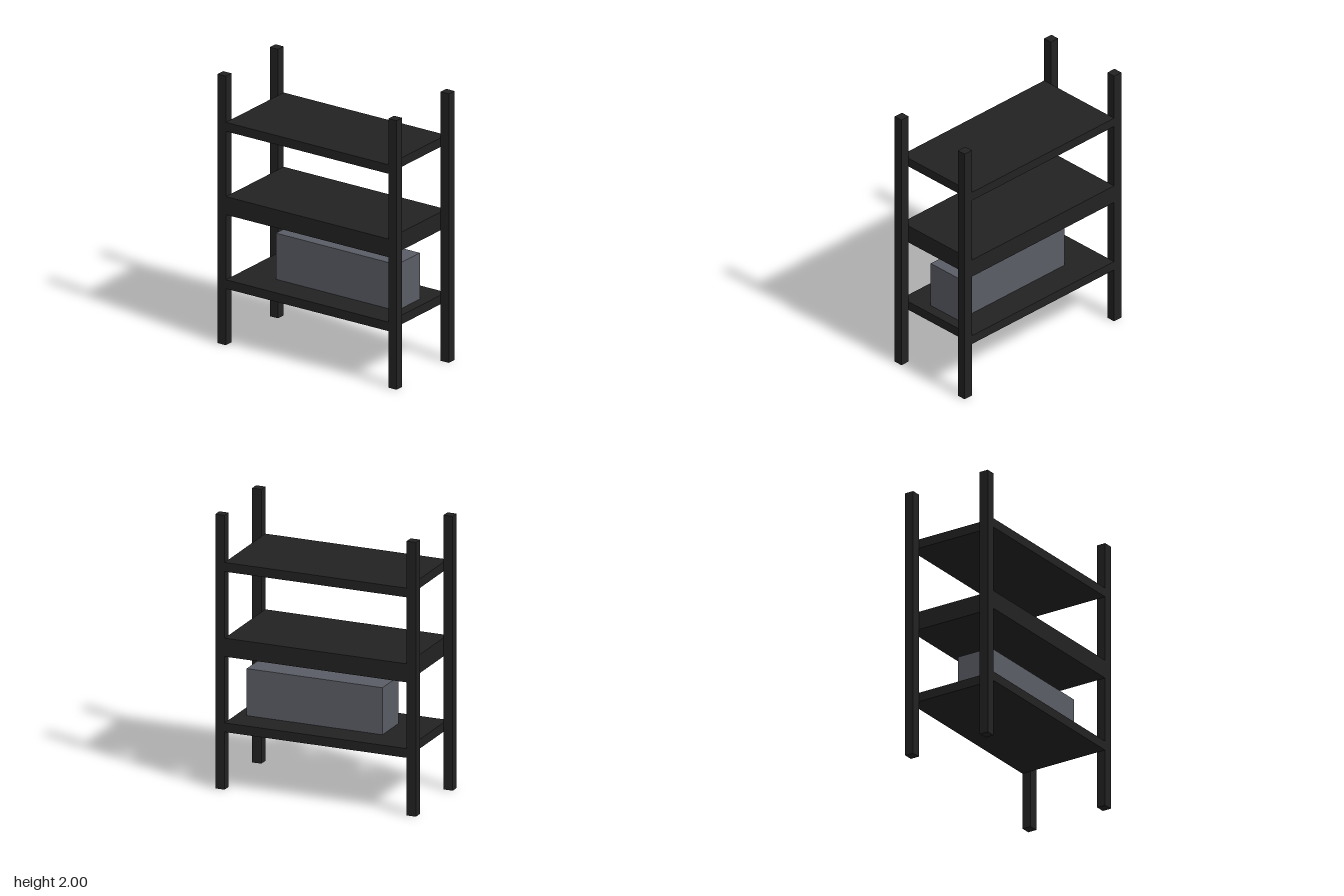
import * as THREE from 'three';

export function createModel() {
  const model = new THREE.Group();
  model.name = 'shelfRack';
  const black = new THREE.MeshStandardMaterial({ name: 'black', color: 0x222222 });
  const grey = new THREE.MeshStandardMaterial({ name: 'slateGrey', color: 0x5a5d65 });

  // Box given by its extents along each axis
  const addBox = (name, material, [x0, x1], [y0, y1], [z0, z1]) => {
    const mesh = new THREE.Mesh(new THREE.BoxGeometry(x1 - x0, y1 - y0, z1 - z0), material);
    mesh.position.set((x0 + x1) / 2, (y0 + y1) / 2, (z0 + z1) / 2);
    mesh.name = name;
    model.add(mesh);
  };

  const halfWidth = 0.76, halfDepth = 0.345, inner = 0.69, post = 0.067;

  // Four corner posts, outside the shelf ends
  for (const [side, sx] of [['Left', 1], ['Right', -1]]) {
    for (const [end, sz] of [['front', 1], ['back', -1]]) {
      const x = sx > 0 ? [inner, halfWidth] : [-halfWidth, -inner];
      const z = sz > 0 ? [halfDepth - post, halfDepth] : [-halfDepth, post - halfDepth];
      addBox(`${end}${side}Post`, black, x, [0, 2], z);
    }
  }

  // Three shelves, the middle one twice as thick
  const shelves = { lowerShelf: [0.42, 0.487], middleShelf: [0.97, 1.105], upperShelf: [1.59, 1.657] };
  for (const [name, y] of Object.entries(shelves)) {
    addBox(name, black, [-inner, inner], y, [-halfDepth, halfDepth]);
  }

  // Storage box standing on the lower shelf
  addBox('storageBox', grey, [-0.413, 0.615], [0.487, 0.83], [-0.137, 0.137]);

  return model;
}
